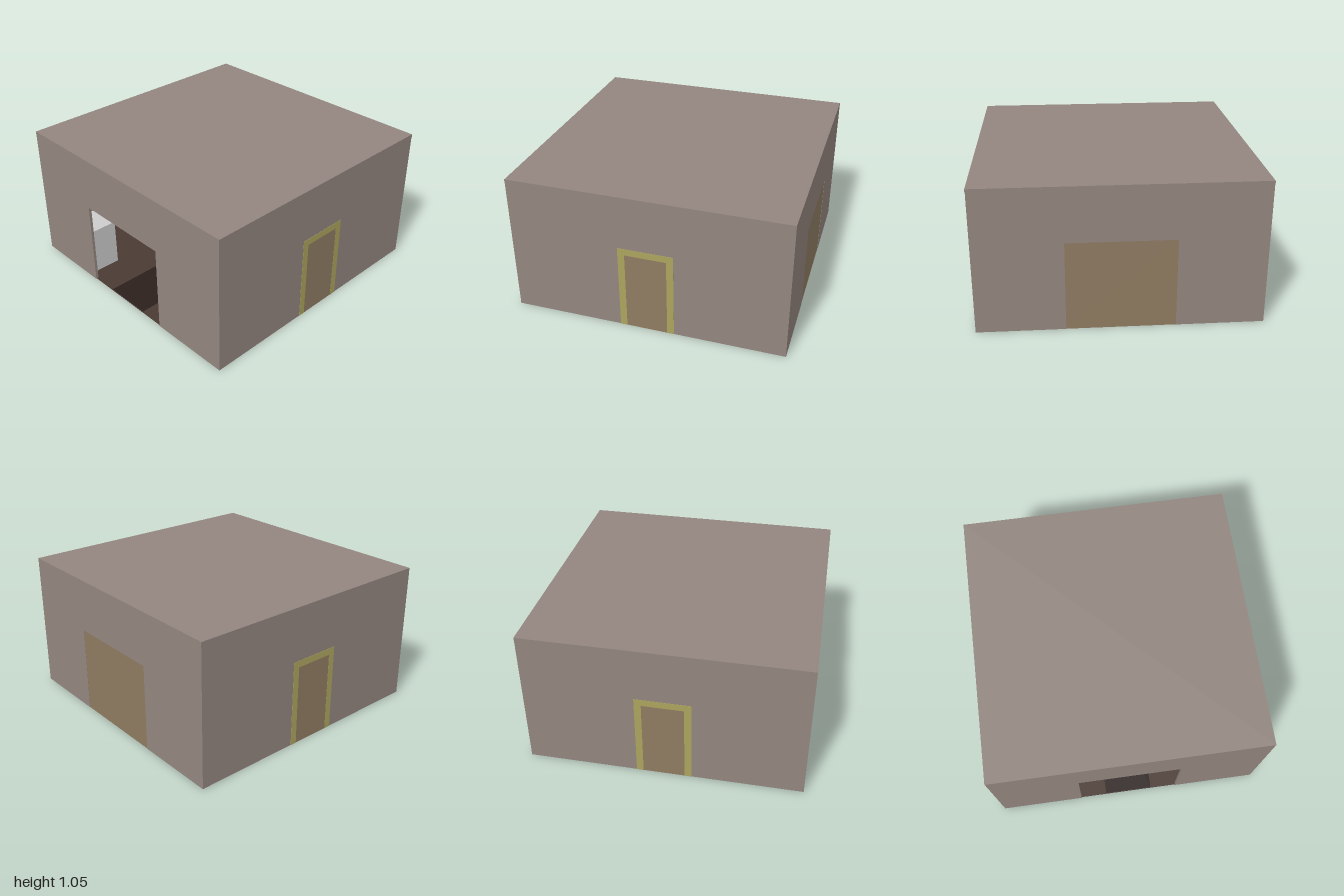
import * as THREE from 'three';

const H = 1.05, T = 0.02;
const mat = (color, side = THREE.FrontSide) => new THREE.MeshStandardMaterial({ color, side, flatShading: true });
const WALL = mat(0x93867f), DOOR = mat(0x8f7c62), FRAME = mat(0xaca45f);
const FLOOR = mat(0x4a3a34), RUG = mat(0x2c201c), GREY = mat(0xcccccc);

export function createModel() {
  const room = new THREE.Group();
  room.name = 'room';

  const add = (parent, name, geometry, material, x = 0, y = 0, z = 0) => {
    const mesh = new THREE.Mesh(geometry, material);
    mesh.name = name;
    mesh.position.set(x, y, z);
    parent.add(mesh);
    return mesh;
  };
  const box = (parent, name, material, [w, h, d], [x, y, z]) =>
    add(parent, name, new THREE.BoxGeometry(w, h, d), material, x, y + h / 2, z);

  // Upright panel with an opening that reaches the ground
  const arch = (halfWidth, height, openHalf, openHeight, depth) => {
    const s = new THREE.Shape([
      [-halfWidth, 0], [-openHalf, 0], [-openHalf, openHeight], [openHalf, openHeight],
      [openHalf, 0], [halfWidth, 0], [halfWidth, height], [-halfWidth, height],
    ].map(([x, y]) => new THREE.Vector2(x, y)));
    return new THREE.ExtrudeGeometry(s, { depth, bevelEnabled: false });
  };

  // Roof and floor
  box(room, 'roof', WALL, [2, T, 2], [0, H - T, 0]);
  box(room, 'floor', FLOOR, [1.99, 0.004, 1.99], [0, 0.001, 0]);

  // Front and back walls, each with a framed door
  for (const side of [1, -1]) {
    const wall = new THREE.Group();
    wall.name = side > 0 ? 'frontWall' : 'backWall';
    wall.rotation.y = side > 0 ? 0 : Math.PI;
    box(wall, 'wallPanel', WALL, [2, H - T, T], [0, 0, 0.998 - T / 2]);
    add(wall, 'doorFrame', arch(0.2, 0.65, 0.15, 0.6, 0.002), FRAME, 0, 0, 0.998);
    box(wall, 'door', DOOR, [0.3, 0.6, 0.001], [0, 0, 0.9985]);
    room.add(wall);
  }

  // Side walls with wide gateways
  for (const side of [1, -1]) {
    const wall = new THREE.Group();
    wall.name = side > 0 ? 'leftWall' : 'rightWall';
    wall.rotation.y = side * Math.PI / 2;
    add(wall, 'gatewayWall', arch(0.998, H - T, 0.38, 0.65, T), WALL, 0, 0, 1 - T);
    room.add(wall);
  }
  box(room, 'gate', DOOR, [0.012, 0.65, 0.76], [0.992, 0, 0]);

  // Carpet leading from the open gateway to a round platform
  box(room, 'carpet', RUG, [1.29, 0.008, 0.36], [-0.345, 0, 0]);
  add(room, 'roundPlatform', new THREE.CylinderGeometry(0.46, 0.46, 0.06, 32), GREY, 0.5, 0.032, 0);

  // Corner blocks
  for (const x of [-0.84, 0.84])
    for (const z of [-0.58, 0.58])
      box(room, 'cornerBlock', GREY, [0.21, 0.37, 0.25], [x, 0.002, z]);

  return room;
}
